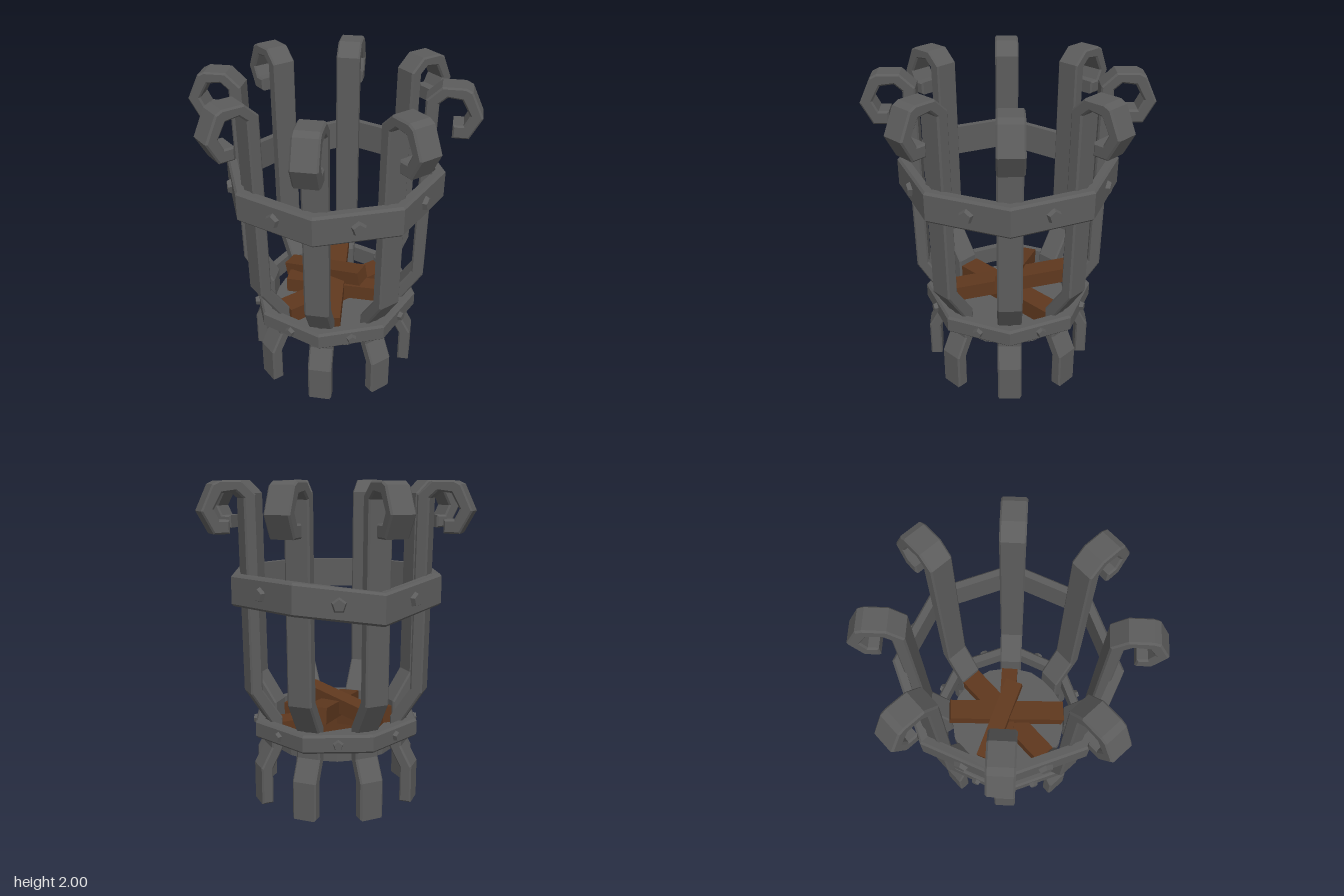
import * as THREE from 'three';

const iron = new THREE.MeshStandardMaterial({ color: 0x5c5c5c });
iron.name = 'dark iron';
const wood = new THREE.MeshStandardMaterial({ color: 0x5f381e });
wood.name = 'brown wood';

// Faceted normals
function facet(geo) {
  const g = geo.index ? geo.toNonIndexed() : geo;
  g.computeVertexNormals();
  return g;
}

function mesh(name, geo, mat) {
  const m = new THREE.Mesh(geo, mat);
  m.name = name;
  return m;
}

// Flat bar bent into foot, basket side and scrolled hook: radius, height
function barGeometry() {
  const outline = [
    [0.535, 0], [0.535, 0.24], [0.465, 0.37], [0.465, 0.53], [0.59, 0.73],
    [0.605, 1.9], [0.65, 1.94], [0.73, 1.93], [0.78, 1.84], [0.75, 1.78],
    [0.69, 1.78], [0.69, 1.7], [0.785, 1.7], [0.855, 1.83], [0.785, 1.98],
    [0.745, 2], [0.615, 2], [0.53, 1.92], [0.515, 0.75], [0.39, 0.56],
    [0.39, 0.36], [0.46, 0.23], [0.46, 0],
  ].map(([r, y]) => new THREE.Vector2(r, y));
  const bevel = 0.01, width = 0.15;
  const geo = new THREE.ExtrudeGeometry(new THREE.Shape(outline), {
    depth: width - 2 * bevel, bevelEnabled: true, bevelSegments: 1,
    bevelSize: bevel, bevelThickness: bevel, bevelOffset: -bevel,
  });
  geo.translate(0, 0, -width / 2 + bevel);
  return facet(geo);
}

// Eight-sided hoop with chamfered edges; its back corner may sag
function hoopGeometry(inner, outer, y0, y1, sag) {
  const c = 0.014;
  const profile = [
    [inner, y0], [outer - c, y0], [outer, y0 + c], [outer, y1 - c],
    [outer - c, y1], [inner, y1], [inner, y0],
  ].map(([r, y]) => new THREE.Vector2(r, y));
  const geo = new THREE.LatheGeometry(profile, 8);
  const p = geo.attributes.position;
  for (let i = 0; i < p.count; i++) {
    if (p.getZ(i) < -inner * 0.9) p.setY(i, p.getY(i) - sag);
  }
  return facet(geo);
}

// Five-sided rivet head pointing along +z
function rivetGeometry(radius) {
  const geo = new THREE.CylinderGeometry(radius * 0.72, radius, 0.035, 5);
  geo.rotateY(Math.PI).rotateX(Math.PI / 2);
  return facet(geo);
}

function addHoop(group, name, inner, outer, y0, y1, sag, rivetRadius) {
  const hoop = new THREE.Group();
  hoop.name = name;
  hoop.add(mesh(name + 'Band', hoopGeometry(inner, outer, y0, y1, sag), iron));
  const geo = rivetGeometry(rivetRadius);
  const apothem = outer * Math.cos(Math.PI / 8);
  for (let i = 0; i < 8; i++) {
    const a = (i + 0.5) * Math.PI / 4;
    const rivet = mesh(name + 'Rivet', geo, iron);
    const drop = i === 3 || i === 4 ? sag / 2 : 0;
    const r = apothem + 0.008;
    rivet.position.set(Math.sin(a) * r, (y0 + y1) / 2 - drop, Math.cos(a) * r);
    rivet.rotation.y = a;
    hoop.add(rivet);
  }
  group.add(hoop);
}

// Squared log between two end centres
function log(from, to, width, height) {
  const a = new THREE.Vector3(...from), b = new THREE.Vector3(...to);
  const m = mesh('log', new THREE.BoxGeometry(width, height, a.distanceTo(b)), wood);
  m.position.copy(a).add(b).multiplyScalar(0.5);
  m.lookAt(b);
  return m;
}

export function createModel() {
  const model = new THREE.Group();
  model.name = 'fireBasket';

  // Eight upright bars
  const bars = new THREE.Group();
  bars.name = 'uprightBars';
  const barGeo = barGeometry();
  for (let i = 0; i < 8; i++) {
    const bar = mesh('uprightBar', barGeo, iron);
    bar.rotation.y = i * Math.PI / 4;
    bars.add(bar);
  }
  model.add(bars);

  // Hoops
  addHoop(model, 'upperHoop', 0.615, 0.675, 1.27, 1.46, 0.06, 0.05);
  addHoop(model, 'lowerHoop', 0.48, 0.545, 0.425, 0.54, 0, 0.036);

  // Floor plate
  const plate = mesh('floorPlate', facet(new THREE.CylinderGeometry(0.4, 0.4, 0.085, 16)), iron);
  plate.position.y = 0.378;
  model.add(plate);

  // Stacked firewood
  const logs = new THREE.Group();
  logs.name = 'firewood';
  logs.add(
    log([-0.38, 0.475, 0], [0.4, 0.475, 0], 0.14, 0.11),
    log([-0.21, 0.515, -0.23], [0.24, 0.515, 0.235], 0.11, 0.1),
    log([-0.24, 0.51, 0.295], [0.265, 0.625, -0.3], 0.135, 0.1),
    log([-0.13, 0.555, -0.33], [0.115, 0.655, 0.165], 0.115, 0.095),
  );
  model.add(logs);
  return model;
}
